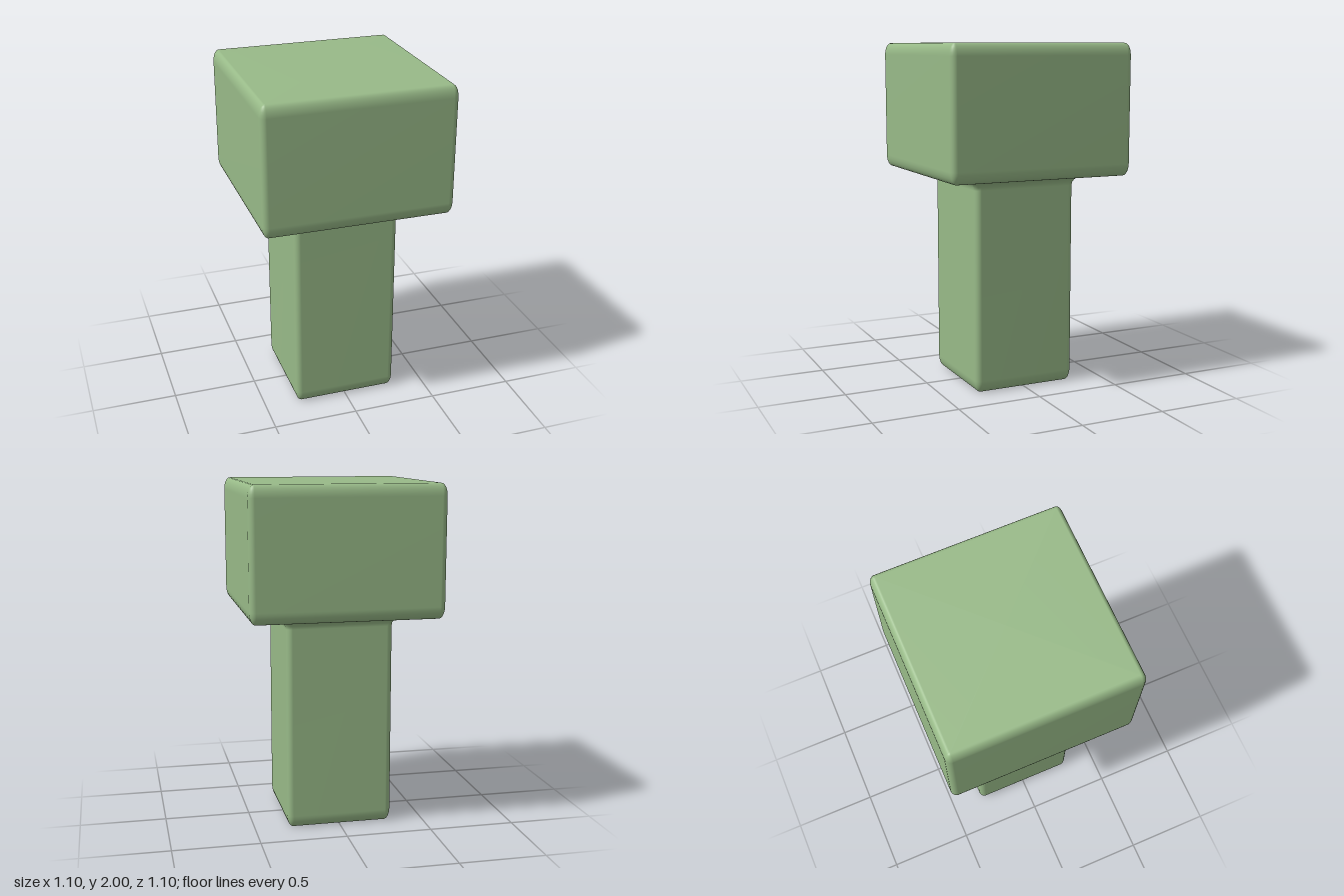
import * as THREE from 'three';

const INSET = 0.035; // bevel width, also the plan corner radius
const RISE = 0.07; // bevel height
const STEPS = 6;

// Quarter ellipse from angle a to b about (cx, cy), as [half width, height, corner radius]
function arc(cx, cy, rx, ry, a, b, cornerRadius) {
  const out = [];
  for (let i = 0; i <= STEPS; i++) {
    const t = a + ((b - a) * i) / STEPS;
    const w = cx + rx * Math.cos(t);
    out.push([w, cy + ry * Math.sin(t), cornerRadius(w)]);
  }
  return out;
}

// Closed loft through rounded-square sections, capped at both ends
function loftSquares(sections) {
  const pos = [], index = [];
  const n = 4 * (STEPS + 1);
  for (const [w, y, r] of sections) {
    for (let q = 0; q < 4; q++) {
      const mid = (q + 0.5) * Math.PI / 2;
      const cx = Math.sign(Math.cos(mid)) * (w - r);
      const cz = Math.sign(Math.sin(mid)) * (w - r);
      for (let i = 0; i <= STEPS; i++) {
        const t = (q + i / STEPS) * Math.PI / 2;
        pos.push(cx + r * Math.cos(t), y, cz + r * Math.sin(t));
      }
    }
  }
  const last = sections.length - 1;
  for (let s = 0; s < last; s++) {
    for (let j = 0; j < n; j++) {
      const a = s * n + j, b = s * n + ((j + 1) % n);
      index.push(a, a + n, b, b, a + n, b + n);
    }
  }
  const bottom = pos.length / 3, top = bottom + 1;
  pos.push(0, sections[0][1], 0, 0, sections[last][1], 0);
  for (let j = 0; j < n; j++) {
    const k = (j + 1) % n;
    index.push(bottom, j, k, top, last * n + k, last * n + j);
  }
  const geo = new THREE.BufferGeometry();
  geo.setAttribute('position', new THREE.Float32BufferAttribute(pos, 3));
  geo.setIndex(index);
  geo.computeVertexNormals();
  return geo;
}

export function createModel() {
  const group = new THREE.Group();
  group.name = 'squareHeadedPeg';
  const H = Math.PI / 2;
  const shaft = 0.31, head = 0.55, neckY = 1.25;
  // Corners tighten as a bevel turns inward
  const tighten = (full) => (w) => Math.max(0.004, INSET - (full - w));

  const sections = [
    // bevelled foot of the shaft
    ...arc(shaft - INSET, RISE, INSET, RISE, -H, 0, tighten(shaft)),
    // flared neck
    ...arc(shaft + 0.09, neckY - RISE, 0.09, RISE, Math.PI, H, () => INSET),
    // lower and upper bevels of the head
    ...arc(head - INSET, neckY + RISE, INSET, RISE, -H, 0, tighten(head)),
    ...arc(head - INSET, 2 - RISE, INSET, RISE, 0, H, tighten(head)),
  ];
  const body = new THREE.Mesh(
    loftSquares(sections),
    new THREE.MeshStandardMaterial({ color: 0x98ba88 })
  );
  body.name = 'headAndShaft';
  group.add(body);
  return group;
}
